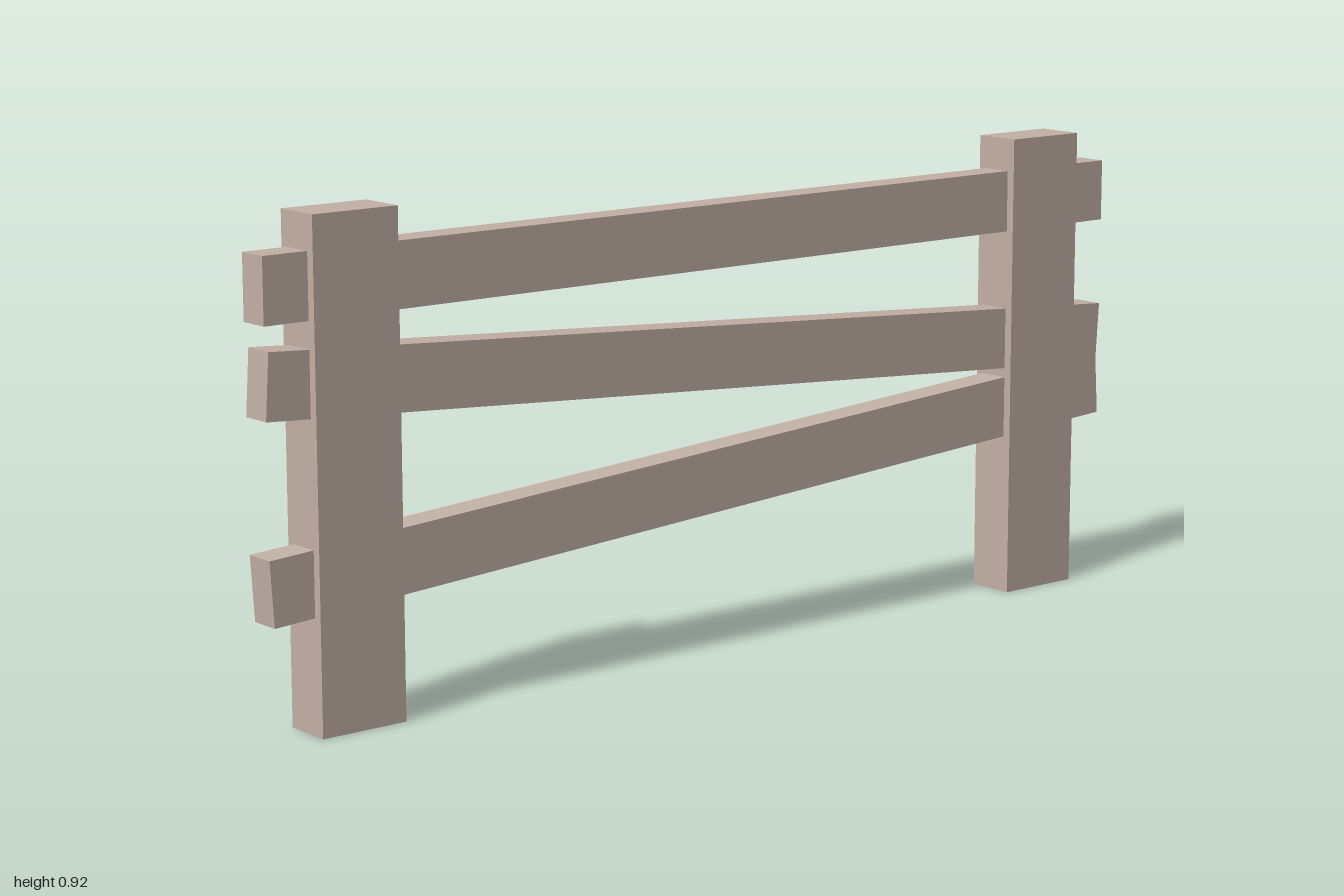
import * as THREE from 'three';

export function createModel() {
  const fence = new THREE.Group();
  fence.name = 'fence';
  const wood = new THREE.MeshStandardMaterial({ color: 0xc4b1a7 });

  function plank(name, size, y, x = 0, tilt = 0) {
    const mesh = new THREE.Mesh(new THREE.BoxGeometry(...size), wood);
    mesh.name = name;
    mesh.position.set(x, y, 0);
    mesh.rotation.z = tilt;
    fence.add(mesh);
  }

  // Upright posts
  const postHeight = 0.916;
  for (const [name, side] of [['leftPost', 1], ['rightPost', -1]]) {
    plank(name, [0.175, postHeight, 0.096], postHeight / 2, side * 0.8225);
  }

  // Level top rail and two rails converging towards the left post
  const railHeight = 0.12, railDepth = 0.062, tilt = 0.064;
  plank('topRail', [2, railHeight, railDepth], 0.792);
  plank('middleRail', [1.996, railHeight, railDepth], 0.564, 0, -tilt);
  plank('lowerRail', [1.996, railHeight, railDepth], 0.331, 0, tilt);

  return fence;
}
